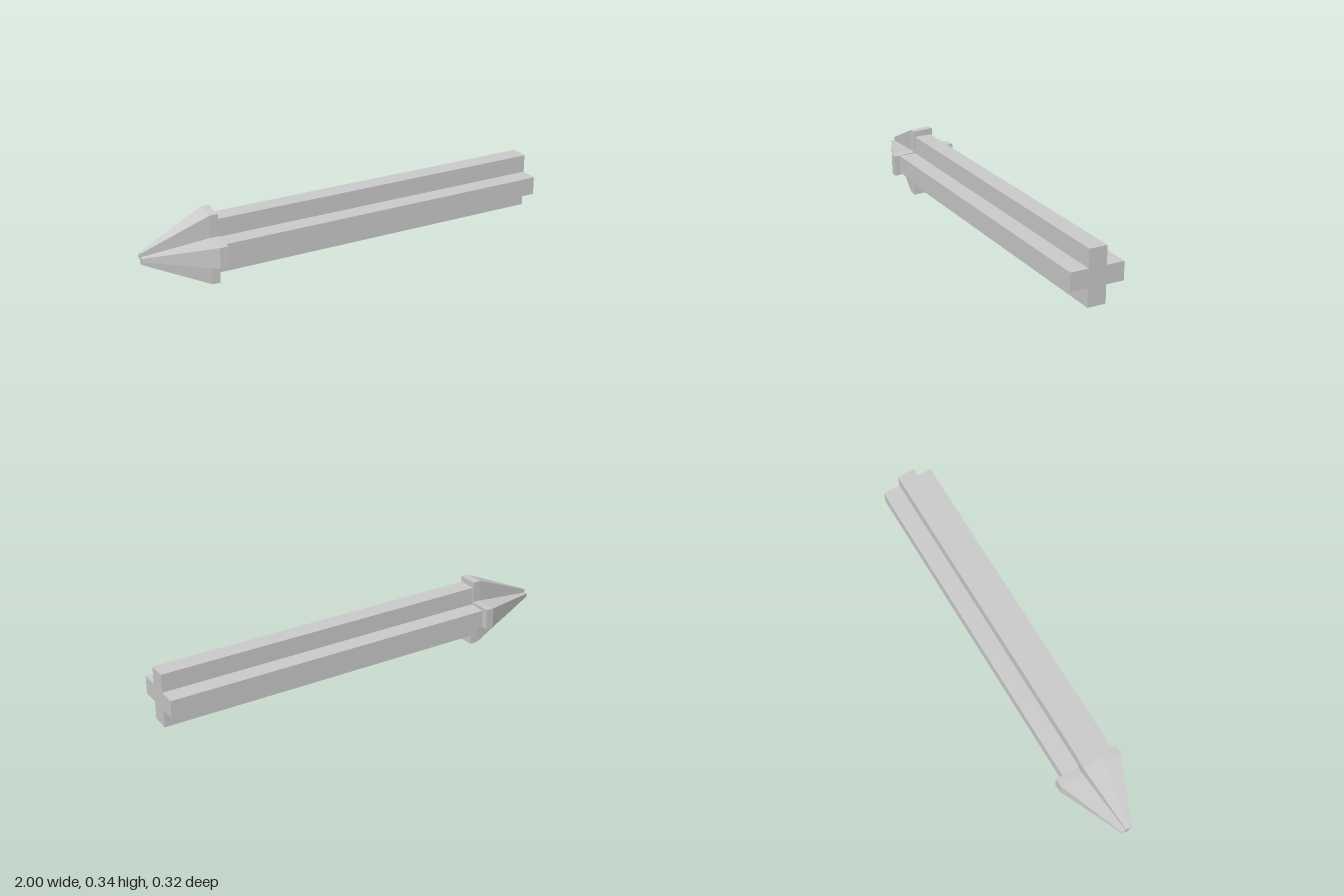
import * as THREE from 'three';

const material = new THREE.MeshStandardMaterial({ color: 0xcccccc, flatShading: true });

// Extrudes a [z, y] outline along +x from 0 to 1
function extrudeAlongX(outline, steps) {
  const shape = new THREE.Shape(outline.map(([z, y]) => new THREE.Vector2(-z, y)));
  const geometry = new THREE.ExtrudeGeometry(shape, { depth: 1, steps, bevelEnabled: false });
  return geometry.rotateY(Math.PI / 2);
}

// Moves the rings of an extrusion to given x positions and scales about (y, z) centre
function loft(geometry, rings, cy, cz) {
  const p = geometry.attributes.position;
  for (let i = 0; i < p.count; i++) {
    const [x, s] = rings[Math.round(p.getX(i) * (rings.length - 1))];
    p.setXYZ(i, x, cy + (p.getY(i) - cy) * s, cz + (p.getZ(i) - cz) * s);
  }
  geometry.computeVertexNormals();
  return geometry;
}

function part(name, outline, rings, cy, cz) {
  const mesh = new THREE.Mesh(loft(extrudeAlongX(outline, rings.length - 1), rings, cy, cz), material);
  mesh.name = name;
  return mesh;
}

export function createModel() {
  const group = new THREE.Group();
  group.name = 'crossBolt';

  // Long shaft with a plus-shaped section
  const shaft = [
    [0.05, 0.312], [-0.037, 0.312], [-0.037, 0.224], [-0.123, 0.224],
    [-0.123, 0.137], [-0.037, 0.137], [-0.037, 0.05], [0.051, 0.05],
    [0.051, 0.137], [0.137, 0.137], [0.137, 0.225], [0.05, 0.225],
  ];
  group.add(part('shaft', shaft, [[-0.65, 1], [1, 1]], 0.18, 0));

  // Four-finned head, slightly skewed, tapering to a small blunt tip
  const head = [
    [0.055, 0.339], [-0.046, 0.345], [-0.044, 0.237], [-0.16, 0.243],
    [-0.16, 0.141], [-0.043, 0.135], [-0.043, 0.008], [0.057, 0.001],
    [0.057, 0.129], [0.162, 0.122], [0.162, 0.225], [0.055, 0.231],
  ];
  group.add(part('head', head, [[-1, 0.16], [-0.69, 0.99], [-0.65, 1]], 0.178, 0));

  return group;
}
